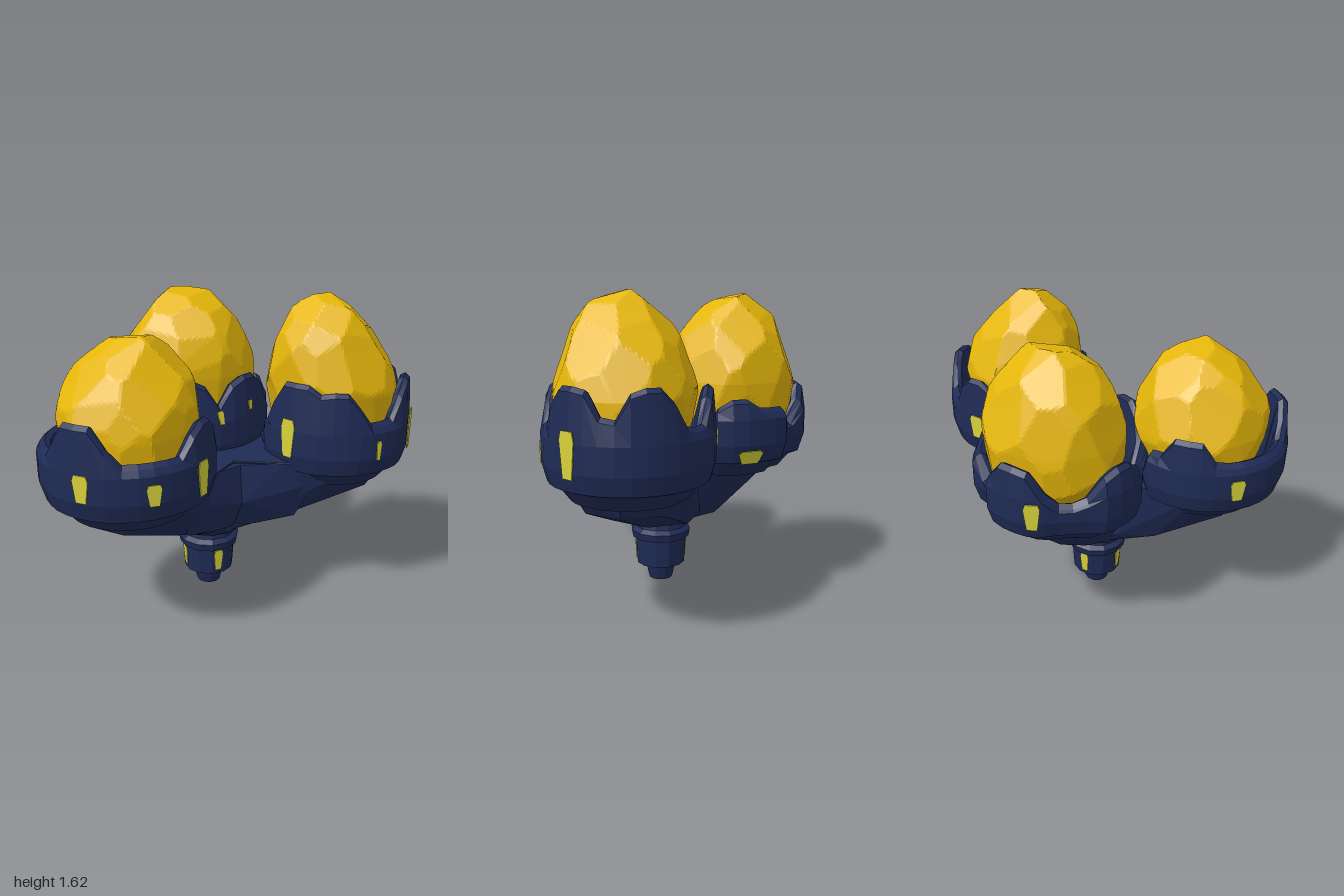
import * as THREE from 'three';
import { ConvexGeometry } from 'three/addons/geometries/ConvexGeometry.js';

const navy = new THREE.MeshStandardMaterial({ color: 0x1f2b55 });
navy.name = 'navy shell';
const gold = new THREE.MeshStandardMaterial({ color: 0xe5b60a });
gold.name = 'gold rock';
const lime = new THREE.MeshStandardMaterial({ color: 0xd8d23a });
lime.name = 'lime window';

const heading = (deg) => {
  const a = THREE.MathUtils.degToRad(deg);
  return new THREE.Vector3(Math.cos(a), 0, Math.sin(a));
};
const angleGap = (a, b) => Math.abs(((a - b + 540) % 360) - 180);

// Split all faces so every facet is shaded flat
function part(parent, name, geo, mat) {
  const g = geo.index ? geo.toNonIndexed() : geo;
  g.computeVertexNormals();
  const m = new THREE.Mesh(g, mat);
  m.name = name;
  parent.add(m);
  return m;
}

function seeded(seed) {
  let s = seed;
  return () => (s = (s * 16807) % 2147483647) / 2147483647;
}

// Egg-shaped boulder cut by many planes
function rockGeometry({ centre, radii, lean, seed }) {
  const rnd = seeded(seed);
  const planes = [];
  const count = 64;
  for (let i = 0; i < count; i++) {
    const n = heading(i * 137.508);
    const y = 1 - (2 * i + 1) / count;
    n.multiplyScalar(Math.sqrt(1 - y * y)).setY(y);
    n.x += (rnd() - 0.5) * 0.35;
    n.y += (rnd() - 0.5) * 0.35;
    n.z += (rnd() - 0.5) * 0.35;
    planes.push({ n: n.normalize(), h: 0.94 + rnd() * 0.07 });
  }
  const geo = new THREE.IcosahedronGeometry(1, 24);
  const pos = geo.attributes.position;
  const d = new THREE.Vector3();
  for (let i = 0; i < pos.count; i++) {
    d.fromBufferAttribute(pos, i).normalize();
    let r = 1.06;
    for (const { n, h } of planes) {
      const c = d.dot(n);
      if (c > 0.3) r = Math.min(r, h / c);
    }
    d.multiplyScalar(r);
    const rise = Math.max(0, d.y);
    const taper = 1 - 0.12 * rise;
    pos.setXYZ(i,
      centre[0] + d.x * radii[0] * taper + lean * rise,
      centre[1] + d.y * radii[1],
      centre[2] + d.z * radii[2] * taper);
  }
  return geo;
}

// Rim height: flat-topped petals above a valley, low on the side facing the hub
function rimHeight(deg, { petals, valley, open }) {
  const base = angleGap(deg, open) < 42 ? 0.88 : valley;
  return Math.max(base, ...petals.map(([at, top]) => top - 0.011 * Math.max(0, angleGap(deg, at) - 11)));
}

// Petalled cup: one wall profile swept around under the rim, bulging at the petals
function cupGeometry(pod) {
  const pos = [];
  const index = [];
  const columns = 36;
  const rows = 10;
  for (let i = 0; i < columns; i++) {
    const deg = (i * 360) / columns;
    const dir = heading(deg);
    const h = rimHeight(deg, pod);
    const bulge = THREE.MathUtils.clamp((h - 0.88) / 0.17, 0, 1);
    const k = pod.R * THREE.MathUtils.lerp(pod.inner, 1, bulge);
    const profile = [
      [0.5, 0.66], [0.7, 0.67], [0.83, 0.74], [0.94, 0.76], [1, 0.85],
      [1, Math.min(0.98, h - 0.03)], [0.96, h - 0.02], [0.9, h], [0.84, h - 0.015], [0.72, 0.78],
    ];
    for (const [r, y] of profile) pos.push(pod.x + dir.x * r * k, y, pod.z + dir.z * r * k);
    for (let j = 0; j < rows - 1; j++) {
      const a = i * rows + j, b = ((i + 1) % columns) * rows + j;
      index.push(a, a + 1, b + 1, a, b + 1, b);
    }
  }
  const geo = new THREE.BufferGeometry();
  geo.setAttribute('position', new THREE.Float32BufferAttribute(pos, 3));
  geo.setIndex(index);
  return geo;
}

function ring(x, y, z, r, n = 9) {
  return Array.from({ length: n }, (_, i) =>
    heading((i * 360) / n + 11).multiplyScalar(r).add(new THREE.Vector3(x, y, z)));
}

// Thin tapered plate laid on the surface that a ray hits
function windowPlate(parent, target, origin, dir, w, h) {
  const hit = new THREE.Raycaster(origin, dir).intersectObject(target)[0];
  if (!hit) return;
  const n = hit.face.normal.clone();
  const side = new THREE.Vector3(0, 1, 0).cross(n).normalize();
  const up = n.clone().cross(side);
  const shape = new THREE.Shape();
  shape.moveTo(-w * 0.32, -h / 2).lineTo(w * 0.32, -h / 2).lineTo(w / 2, h * 0.3);
  shape.lineTo(w * 0.38, h / 2).lineTo(-w * 0.38, h / 2).lineTo(-w / 2, h * 0.3);
  const geo = new THREE.ExtrudeGeometry(shape, { depth: 0.005, bevelEnabled: false });
  geo.applyMatrix4(new THREE.Matrix4().makeBasis(side, up, n).setPosition(hit.point));
  part(parent, 'window', geo, lime);
}

// Window on an upright wall around the axis at (x, z)
function sideWindow(parent, target, { x, z }, deg, y, w, h) {
  const out = heading(deg);
  const from = out.clone().add(new THREE.Vector3(x, y, z));
  windowPlate(parent, target, from, out.negate(), w, h);
}

// Angles run from +x towards +z; petals: [angle, height], windows: [angle, y, width, height]
const rightPod = {
  name: 'rightPod', x: -0.57, z: 0.3, R: 0.43, inner: 0.92, valley: 1.03, open: 335,
  petals: [[45, 1.16], [140, 1.2], [260, 1.14]],
  windows: [[54, 0.9, 0.08, 0.17], [91, 0.89, 0.07, 0.1], [135, 0.92, 0.08, 0.13], [224, 0.89, 0.08, 0.11]],
  arm: { mid: 0.24, midY: 0.47, foot: 0.23 },
  rock: { centre: [-0.54, 1.09, 0.28], radii: [0.345, 0.415, 0.35], lean: 0.01, seed: 77 },
};
const leftPod = {
  name: 'leftPod', x: 0.59, z: 0.25, R: 0.41, inner: 0.92, valley: 1.03, open: 208,
  petals: [[42, 1.22], [118, 1.19], [150, 1.22], [275, 1.19], [347, 1.22]],
  windows: [[41, 0.93, 0.09, 0.21], [85, 0.89, 0.03, 0.1], [153, 0.94, 0.08, 0.2], [272, 0.92, 0.09, 0.13]],
  arm: { mid: 0.24, midY: 0.47, foot: 0.23 },
  rock: { centre: [0.57, 1.15, 0.27], radii: [0.335, 0.455, 0.33], lean: -0.08, seed: 4321 },
};
const backPod = {
  name: 'backPod', x: -0.03, z: -0.27, R: 0.46, inner: 0.86, valley: 0.93, open: 90,
  petals: [[66, 1.2], [114, 1.2], [196, 1.1], [272, 1.12], [330, 1.03], [355, 1.08]],
  windows: [[66, 1.04, 0.03, 0.05], [90, 1.0, 0.04, 0.07], [114, 1.04, 0.03, 0.05],
    [348, 0.79, 0.14, 0.07], [256, 0.89, 0.08, 0.14]],
  arm: { mid: 0.16, midY: 0.42, foot: 0.22 },
  rock: { centre: [-0.01, 1.15, -0.32], radii: [0.37, 0.445, 0.33], lean: -0.02, seed: 999 },
};

export function createModel() {
  const model = new THREE.Group();
  model.name = 'rockPodCluster';
  const hub = { x: -0.05, z: 0.06 };

  // Pods: angular arm, petalled cup, windows and boulder
  for (const pod of [rightPod, leftPod, backPod]) {
    const g = new THREE.Group();
    g.name = pod.name;
    model.add(g);
    const midX = pod.x * 0.45, midZ = pod.z * 0.45;
    const arm = part(g, 'arm', new ConvexGeometry([
      ...ring(hub.x, 0.38, hub.z, 0.2), ...ring(midX, pod.arm.midY, midZ, pod.arm.mid, 7),
      ...ring(pod.x, 0.61, pod.z, pod.arm.foot, 7), ...ring(pod.x, 0.72, pod.z, pod.arm.foot + 0.05, 7),
      ...ring(pod.x, 0.79, pod.z, 0.33), ...ring(hub.x, 0.82, hub.z, 0.24, 7),
    ]), navy);
    const cup = part(g, 'cup', cupGeometry(pod), navy);
    part(g, 'boulder', rockGeometry(pod.rock), gold);
    for (const spec of pod.windows) sideWindow(g, cup, pod, ...spec);
    // Small window under the arm
    const below = new THREE.Vector3(midX * 1.15, -0.5, midZ * 1.15 + 0.04);
    windowPlate(g, arm, below, new THREE.Vector3(0, 1, 0), 0.08, 0.06);
  }

  // Faceted front panels joining the two front arms
  for (const s of [-1, 1]) {
    const corners = [
      [0, 0.8, 0.36], [0.22, 0.8, 0.43], [0.38, 0.68, 0.47], [0.3, 0.48, 0.4], [0.1, 0.45, 0.35],
      [0, 0.6, 0.39], [0, 0.42, 0.28], [0, 0.83, 0], [0.3, 0.83, 0.1], [0.32, 0.6, -0.1], [0, 0.42, 0],
    ].map(([x, y, z]) => new THREE.Vector3(x * s, y, z));
    part(model, 'frontPanel', new ConvexGeometry(corners), navy);
  }

  // Stepped stem with collars
  const profile = [
    [0, 0], [0.065, 0], [0.075, 0.04], [0.085, 0.09], [0.135, 0.095], [0.145, 0.25], [0.16, 0.25],
    [0.168, 0.29], [0.14, 0.31], [0.132, 0.35], [0.17, 0.35], [0.2, 0.37], [0.22, 0.41], [0.18, 0.46],
  ].map(([r, y]) => new THREE.Vector2(r, y));
  const stemGeo = new THREE.LatheGeometry(profile, 12, Math.PI / 12);
  stemGeo.translate(hub.x, 0, hub.z);
  const stem = part(model, 'stem', stemGeo, navy);
  for (const deg of [90, 180, 270]) sideWindow(model, stem, hub, deg, 0.18, 0.05, 0.12);
  return model;
}
